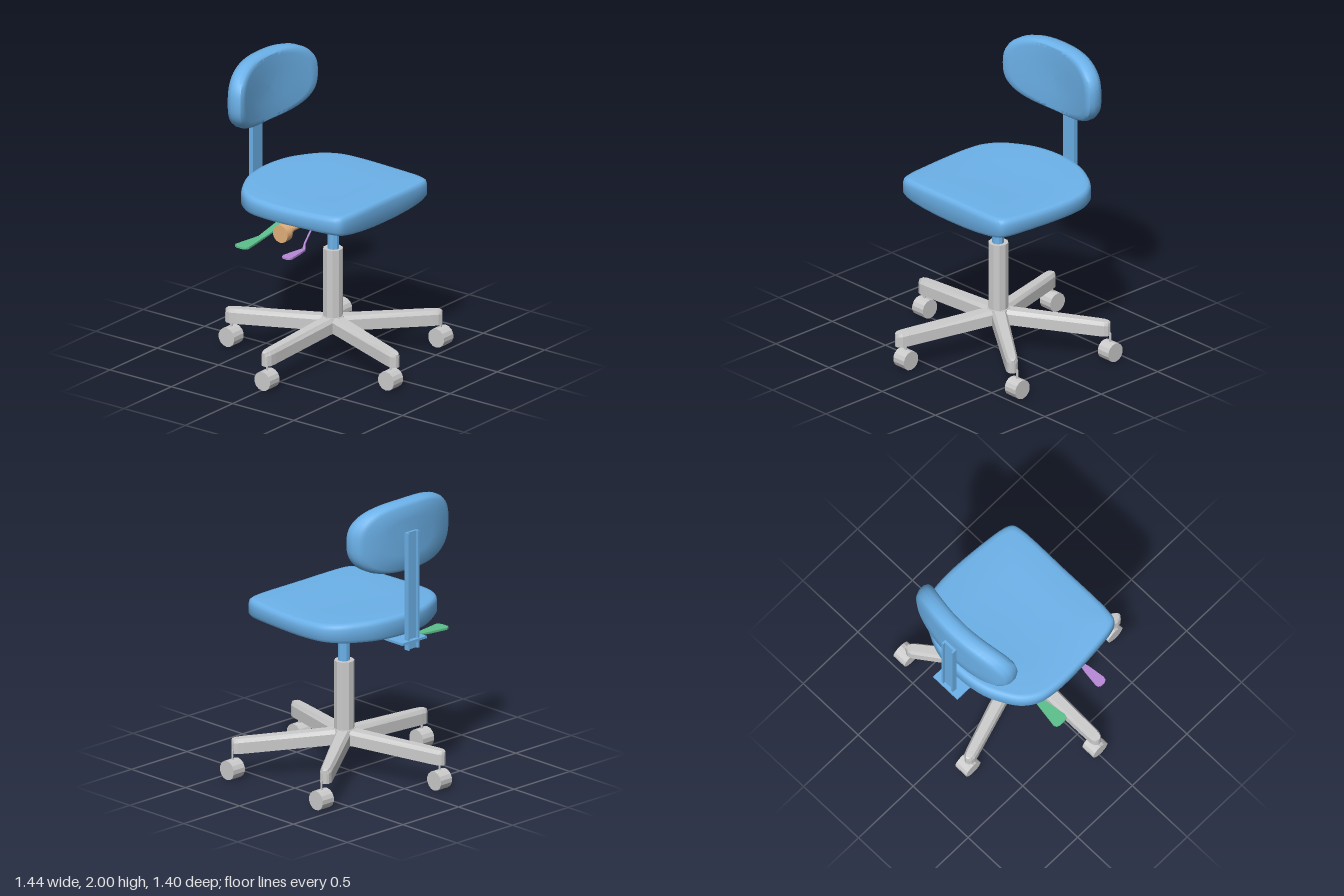
import * as THREE from 'three';
import { toCreasedNormals } from 'three/addons/utils/BufferGeometryUtils.js';

const CZ = -0.045; // centre line of the chair in z
const mat = (color, flat = false) => new THREE.MeshStandardMaterial({ color, flatShading: flat });
const BLUE = 0x6cb2ea, GREY = 0xcccccc, GREEN = 0x5cc08c, ORANGE = 0xe2b07a, PURPLE = 0xb888d8;

// Closed skin through a list of rings of [x, y, z] points, capped at both ends.
function loft(rings, crease = 0) {
  const n = rings[0].length, pos = rings.flat(2), idx = [];
  for (let r = 0; r < rings.length - 1; r++)
    for (let i = 0; i < n; i++) {
      const a = r * n + i, b = r * n + (i + 1) % n;
      idx.push(a, b, a + n, b, b + n, a + n);
    }
  [0, rings.length - 1].forEach((r, end) => {
    const c = pos.length / 3;
    for (let k = 0; k < 3; k++) pos.push(rings[r].reduce((s, p) => s + p[k], 0) / n);
    for (let i = 0; i < n; i++) {
      const a = r * n + i, b = r * n + (i + 1) % n;
      end ? idx.push(a, b, c) : idx.push(b, a, c);
    }
  });
  // turn the faces outward if the signed volume is negative
  const P = i => new THREE.Vector3().fromArray(pos, i * 3);
  let vol = 0;
  for (let i = 0; i < idx.length; i += 3) vol += P(idx[i]).dot(P(idx[i + 1]).cross(P(idx[i + 2])));
  if (vol < 0) idx.reverse();
  const g = new THREE.BufferGeometry();
  g.setAttribute('position', new THREE.Float32BufferAttribute(pos, 3));
  g.setIndex(idx);
  g.computeVertexNormals();
  return crease ? toCreasedNormals(g, crease) : g;
}

function add(parent, name, geo, material, x = 0, y = 0, z = 0) {
  const m = new THREE.Mesh(geo, material);
  m.name = name;
  m.position.set(x, y, z);
  parent.add(m);
  return m;
}

// Box given by its lower and upper corners
function box(parent, name, color, [x0, y0, z0], [x1, y1, z1]) {
  return add(parent, name, new THREE.BoxGeometry(x1 - x0, y1 - y0, z1 - z0), mat(color),
    (x0 + x1) / 2, (y0 + y1) / 2, (z0 + z1) / 2);
}

// Cushion outline in plan, rounded at the back (-x) and squarer at the front (+x)
function seatGeometry() {
  const half = [[0.44, 0.41], [0.422, 0.462], [0.375, 0.488], [0.2, 0.514], [-0.05, 0.53], [-0.18, 0.526],
    [-0.3, 0.503], [-0.4, 0.435], [-0.47, 0.33], [-0.525, 0.2]];
  const pts = [[0.445, 0], ...half, [-0.55, 0], ...half.map(([x, z]) => [x, -z]).reverse()];
  const outline = new THREE.CatmullRomCurve3(pts.map(([x, z]) => new THREE.Vector3(x, 0, z)), true).getPoints(80).slice(0, 80);
  const dish = x => (x < 0 ? 0.08 : 0.05) * x * x;
  const lip = (x, z) => -0.035 * Math.max(0, (x - 0.08) / 0.36) * (1 - (z / 0.5) ** 2) + 0.03 * z * z;
  // [inset scale, height, is upper surface]
  const levels = [[0.02, 1.065, 0], [0.5, 1.065, 0], [0.92, 1.067, 0], [0.975, 1.074, 0], [1, 1.095, 0],
    [1, 1.155, 1], [0.99, 1.178, 1], [0.965, 1.19, 1], [0.92, 1.194, 1], [0.5, 1.19, 1], [0.02, 1.19, 1]];
  return loft(levels.map(([s, y, up]) => outline.map(p => {
    const x = -0.05 + (p.x + 0.05) * s, z = p.z * s;
    return [x, y + (up ? dish(x) : lip(x, z)), z + CZ];
  })), 0.7);
}

// Backrest: superellipse rings stacked along x and bent around the sitter
function backrestGeometry() {
  const levels = [[0.02, -0.605, 0.38], [0.5, -0.605, 0.38], [0.88, -0.603, 0.38], [0.96, -0.59, 0.38], [1, -0.56, 0.4],
    [1, -0.525, 0.44], [0.97, -0.502, 0.48], [0.92, -0.49, 0.5], [0.82, -0.488, 0.52], [0.45, -0.49, 0.52], [0.02, -0.49, 0.52]];
  const e = 2 / 2.7, pw = v => Math.sign(v) * Math.abs(v) ** e;
  return loft(levels.map(([s, x, bend]) => Array.from({ length: 56 }, (_, i) => {
    const a = i / 56 * Math.PI * 2, z = 0.423 * s * pw(Math.cos(a)), y = 0.238 * s * pw(Math.sin(a));
    return [x + bend * z * z, 1.762 + y, z - 0.037];
  })), 0.7);
}

// Star leg running out along +z, bevelled on top and rounded at the tip
function legGeometry() {
  const stations = [[0, 0.05, 0.305, 0.2], [0.1, 0.05, 0.298, 0.2], [0.66, 0.04, 0.268, 0.168],
    [0.7, 0.037, 0.265, 0.166], [0.724, 0.026, 0.262, 0.166], [0.735, 0.01, 0.255, 0.166]];
  return loft(stations.map(([z, w, t, b]) => [[-w, b, z], [w, b, z], [w, t - 0.025, z],
    [w * 0.65, t, z], [-w * 0.65, t, z], [-w, t - 0.025, z]]));
}

// Flat lever through stations of [x, y, z, half width, thickness]
const leverGeometry = stations => loft(stations.map(([x, y, z, w, t]) =>
  [[x - w, y, z], [x + w, y, z], [x + w, y + t, z], [x - w, y + t, z]]));

export function createModel() {
  const model = new THREE.Group();
  model.name = 'swivelChair';

  // Five-legged base with casters
  const base = new THREE.Group();
  base.name = 'base';
  model.add(base);
  const grey = mat(GREY, true), leg = legGeometry();
  const wheel = new THREE.CylinderGeometry(0.065, 0.065, 0.1, 14).rotateX(Math.PI / 2);
  const pin = new THREE.CylinderGeometry(0.007, 0.007, 0.08, 8);
  const casters = [[0.01, 0.65], [0.64, 0.16], [0.42, -0.655], [-0.405, -0.655], [-0.66, 0.16]];
  casters.forEach(([x, z], i) => {
    add(base, 'leg', leg, grey, 0.012, 0, CZ).rotation.y = i * Math.PI * 2 / 5;
    add(base, 'casterWheel', wheel, grey, x, 0.065, z);
    add(base, 'casterPin', pin, grey, x, 0.15, z);
  });
  add(base, 'hub', new THREE.CylinderGeometry(0.075, 0.085, 0.1, 10), grey, 0.012, 0.252, CZ);
  add(base, 'column', new THREE.CylinderGeometry(0.066, 0.066, 0.52, 10), grey, 0.012, 0.505, CZ);

  // Gas lift and seat mechanism
  add(model, 'piston', new THREE.CylinderGeometry(0.039, 0.039, 0.28, 10), mat(BLUE, true), 0.015, 0.9, CZ);
  add(model, 'pistonCollar', new THREE.CylinderGeometry(0.046, 0.046, 0.02, 12), mat(BLUE, true), 0.015, 1.03, CZ);
  box(model, 'mechanismBox', BLUE, [-0.25, 0.97, -0.085], [-0.03, 1.045, 0.055]);
  box(model, 'seatPlate', BLUE, [-0.65, 1.052, -0.165], [0.21, 1.068, 0.055]);
  box(model, 'slideBar', BLUE, [-0.63, 1.036, -0.105], [0.21, 1.054, 0.005]);

  // Backrest upright: a shallow channel open to the rear
  box(model, 'backPost', BLUE, [-0.622, 1.0, -0.1], [-0.605, 1.8, 0]);
  for (const z of [-0.1, -0.014])
    box(model, 'backPostFlange', BLUE, [-0.638, 1.0, z], [-0.62, 1.8, z + 0.014]);

  // Cushions
  add(model, 'seat', seatGeometry(), mat(BLUE));
  add(model, 'backrest', backrestGeometry(), mat(BLUE));

  // Tension knob
  const knob = new THREE.Group();
  knob.name = 'tensionKnob';
  knob.position.set(-0.11, 0.95, 0);
  model.add(knob);
  const orange = mat(ORANGE);
  const disc = (name, r0, r1, z0, z1) => add(knob, name,
    new THREE.CylinderGeometry(r1, r0, z1 - z0, 24).rotateX(Math.PI / 2), orange, 0, 0, (z0 + z1) / 2);
  disc('knobShaft', 0.015, 0.02, 0.04, 0.3);
  disc('knobCollar', 0.025, 0.03, 0.24, 0.302);
  disc('knobDisc', 0.06, 0.06, 0.3, 0.355);

  // Adjustment levers
  add(model, 'tiltLever', leverGeometry([[-0.245, 0.96, 0.04, 0.036, 0.01], [-0.245, 0.925, 0.24, 0.028, 0.01],
    [-0.245, 0.898, 0.38, 0.022, 0.012], [-0.245, 0.895, 0.47, 0.036, 0.014], [-0.245, 0.895, 0.58, 0.053, 0.014],
    [-0.245, 0.895, 0.6, 0.045, 0.013], [-0.245, 0.896, 0.61, 0.022, 0.012]]), mat(GREEN, true));
  add(model, 'heightLever', leverGeometry([[-0.06, 0.965, 0.04, 0.006, 0.01], [0.08, 0.922, 0.34, 0.006, 0.01],
    [0.125, 0.908, 0.41, 0.012, 0.012], [0.125, 0.906, 0.47, 0.024, 0.014], [0.125, 0.906, 0.58, 0.038, 0.014],
    [0.125, 0.906, 0.6, 0.032, 0.013], [0.125, 0.907, 0.61, 0.015, 0.012]]), mat(PURPLE, true));

  return model;
}
